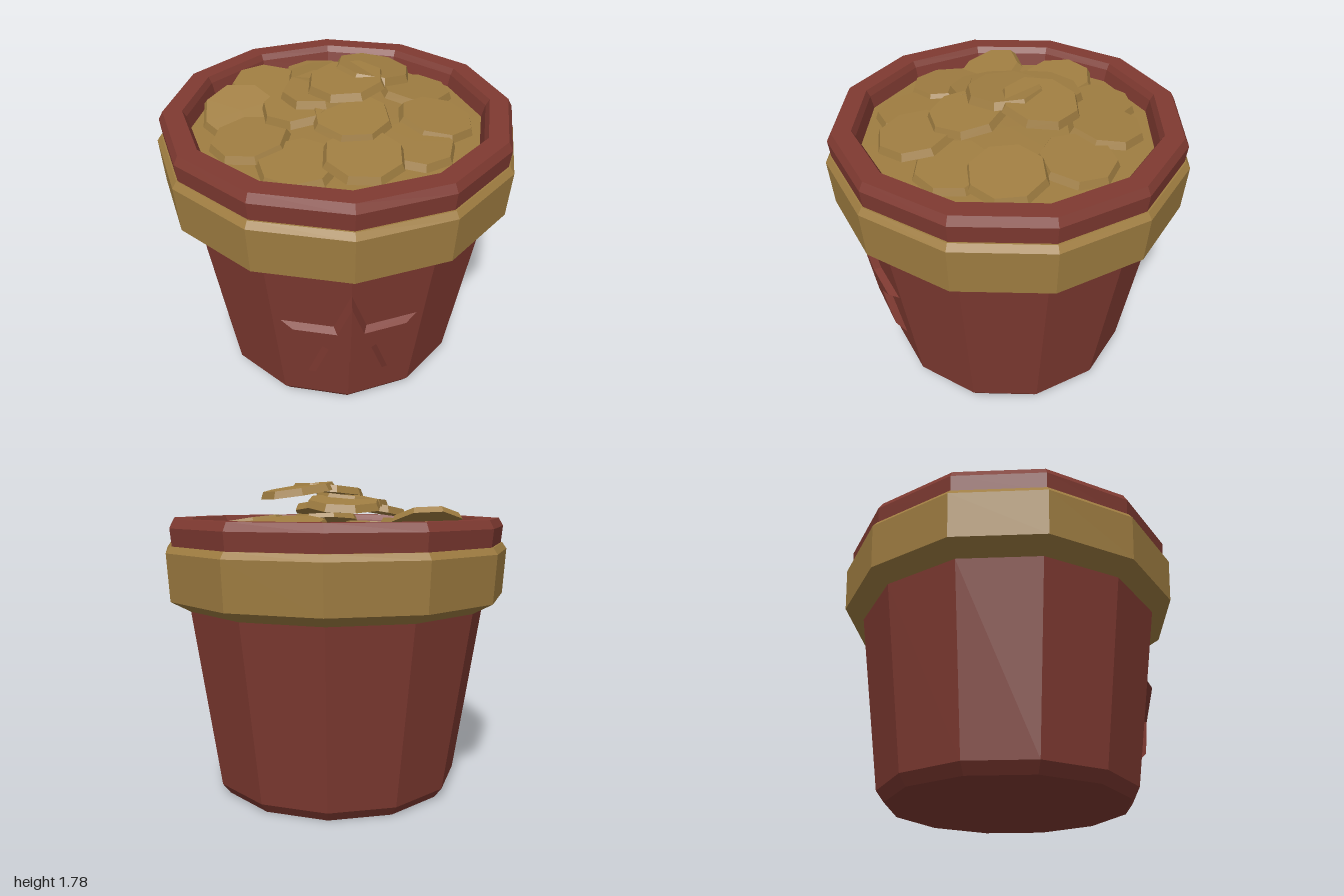
import * as THREE from 'three';

const red = new THREE.MeshStandardMaterial({ color: 0x7f3a31 });
red.name = 'barrel red';
const gold = new THREE.MeshStandardMaterial({ color: 0x9f7d41 });
gold.name = 'coin gold';

// Facet every face so the low-poly edges stay crisp
function facet(geometry) {
  const g = geometry.index ? geometry.toNonIndexed() : geometry;
  g.computeVertexNormals();
  return g;
}

function part(name, geometry, material) {
  const mesh = new THREE.Mesh(facet(geometry), material);
  mesh.name = name;
  return mesh;
}

// Twelve-sided turned part from [radius, height] pairs
function turned(name, profile, material) {
  const points = profile.map(([r, y]) => new THREE.Vector2(r, y));
  return part(name, new THREE.LatheGeometry(points, 12), material);
}

// Raised star that bends over the pot's front corner edge
function starGeometry() {
  const R = 0.389, cy = 0.561, slope = Math.tan(Math.PI / 12);
  const onPot = (x, y, lift) =>
    [x, y, 0.725 + (y - 0.06) * 0.147 - slope * Math.abs(x) + lift];
  const ring = (scale, lift) => Array.from({ length: 10 }, (_, i) => {
    const a = Math.PI / 2 + (i * Math.PI) / 5;
    const r = scale * R * (i % 2 ? 0.382 : 1);
    return onPot(r * Math.cos(a), cy + r * Math.sin(a), lift);
  });
  const base = ring(1, -0.002), face = ring(0.82, 0.043);
  const centre = onPot(0, cy, 0.043);
  const v = [];
  for (let i = 0; i < 10; i++) {
    const j = (i + 1) % 10;
    v.push(...centre, ...face[i], ...face[j]);
    v.push(...base[i], ...base[j], ...face[j], ...base[i], ...face[j], ...face[i]);
  }
  const g = new THREE.BufferGeometry();
  g.setAttribute('position', new THREE.Float32BufferAttribute(v, 3));
  return g;
}

export function createModel() {
  const model = new THREE.Group();
  model.name = 'coinPot';

  // Pot body, rim and inner wall
  model.add(turned('potBody', [
    [0, 0], [0.68, 0], [0.725, 0.06], [0.875, 1.08], [0.875, 1.14],
  ], red));
  model.add(turned('potRim', [
    [0.965, 1.42], [0.975, 1.53], [0.95, 1.575], [0.845, 1.575], [0.825, 1.54], [0.8, 1.44],
  ], red));
  model.add(turned('band', [
    [0.86, 1.075], [0.875, 1.08], [0.985, 1.14], [1, 1.4], [0.975, 1.435], [0.94, 1.435],
  ], gold));
  model.add(part('star', starGeometry(), red));

  // Flat bed of gold beneath the loose coins
  model.add(turned('coinBed', [[0.82, 1.47], [0, 1.48]], gold));

  // Loose coins: x, y, z, lean toward x, lean toward z, spin
  const coins = [
    [-0.39, 1.53, -0.39, 0.06, 0.1, 0.1],
    [-0.08, 1.52, -0.54, 0, -0.08, 0.3],
    [0.22, 1.55, -0.48, 0.03, -0.12, 0.2],
    [0.47, 1.53, -0.25, 0.1, -0.05, 0.5],
    [0.52, 1.54, 0.13, 0.15, 0.06, 0.25],
    [-0.53, 1.55, 0, 0.05, 0.42, 0.4],
    [-0.48, 1.53, 0.26, -0.1, 0.05, 0.15],
    [-0.24, 1.51, 0.49, -0.05, 0.08, 0.6],
    [0.085, 1.56, 0.52, 0.02, 0.14, 0.3],
    [0.37, 1.52, 0.37, 0.08, 0.08, 0.1],
    [-0.06, 1.66, -0.22, -0.04, -0.15, 0.35],
    [0.2, 1.73, -0.12, 0.14, -0.08, 0.2],
    [-0.21, 1.63, 0.08, -0.16, 0.06, 0.5],
    [-0.1, 1.68, 0, -0.12, 0, 0.1],
    [0.04, 1.735, 0.03, -0.08, 0.04, 0.3],
    [0.05, 1.63, 0.24, 0.04, 0.14, 0.45],
  ];
  const pile = new THREE.Group();
  pile.name = 'coins';
  const coinGeometry = facet(new THREE.CylinderGeometry(0.198, 0.217, 0.04, 8));
  const up = new THREE.Vector3(0, 1, 0);
  for (const [x, y, z, nx, nz, spin] of coins) {
    const coin = new THREE.Mesh(coinGeometry, gold);
    coin.name = 'coin';
    coin.position.set(x, y, z);
    coin.quaternion.setFromUnitVectors(up, new THREE.Vector3(nx, 1, nz).normalize());
    coin.rotateY(spin);
    pile.add(coin);
  }
  model.add(pile);
  return model;
}
